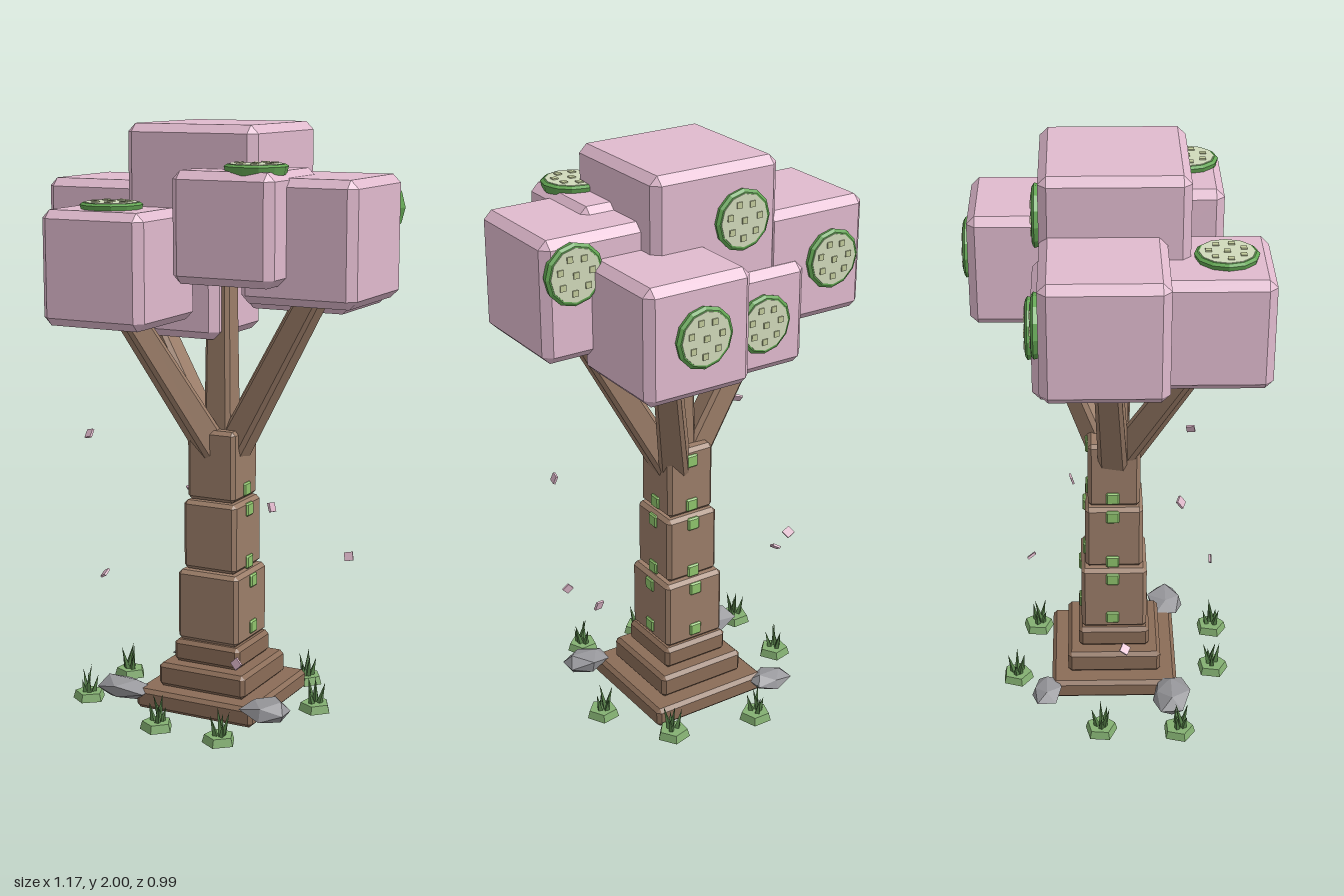
import * as THREE from 'three';
import { ConvexGeometry } from 'three/addons/geometries/ConvexGeometry.js';

const mat = (color) => new THREE.MeshStandardMaterial({ color, flatShading: true });
const M = {
  leaf: mat(0xe0bace), bark: mat(0x9b7d68), darkBark: mat(0x8a6c57), rind: mat(0x62a552),
  flesh: mat(0xd0d9ba), seed: mat(0xc2cb9c), moss: mat(0x8fc46c), bush: mat(0x84b072),
  blade: mat(0x557f48), rock: mat(0x96969a), petal: mat(0xdcb6c8),
};

function add(parent, name, geo, material, x = 0, y = 0, z = 0) {
  const m = new THREE.Mesh(geo, material);
  m.name = name;
  m.position.set(x, y, z);
  parent.add(m);
  return m;
}

// Box with flat chamfered edges; taper scales the top end
function chamferBox(w, h, d, c, taper = 1) {
  const pts = [];
  for (const sx of [-1, 1]) for (const sy of [-1, 1]) for (const sz of [-1, 1]) {
    for (let k = 0; k < 3; k++) {
      const f = sy > 0 ? taper : 1;
      pts.push(new THREE.Vector3(
        sx * f * (w / 2 - (k === 0 ? 0 : c)),
        sy * (h / 2 - (k === 1 ? 0 : c)),
        sz * f * (d / 2 - (k === 2 ? 0 : c))));
    }
  }
  return new ConvexGeometry(pts);
}

// Round slice with rind, pale flesh and raised seeds, facing +y
function slice() {
  const g = new THREE.Group();
  g.name = 'slice';
  add(g, 'rind', new THREE.CylinderGeometry(0.102, 0.095, 0.026, 12), M.rind, 0, 0.001, 0);
  add(g, 'rindBevel', new THREE.CylinderGeometry(0.092, 0.102, 0.007, 12), M.rind, 0, 0.0175, 0);
  add(g, 'flesh', new THREE.CylinderGeometry(0.087, 0.088, 0.004, 12), M.flesh, 0, 0.0205, 0);
  const seed = new THREE.BoxGeometry(0.02, 0.006, 0.02);
  add(g, 'seed', seed, M.seed, 0, 0.0235, 0);
  for (let i = 0; i < 7; i++) {
    const a = i / 7 * Math.PI * 2 + 0.3;
    add(g, 'seed', seed, M.seed, 0.057 * Math.cos(a), 0.0235, 0.057 * Math.sin(a));
  }
  return g;
}

// Tapered branch from a to b
function branch(parent, a, b) {
  const p = new THREE.Vector3(...a), q = new THREE.Vector3(...b);
  const dir = q.clone().sub(p), len = dir.length();
  const m = add(parent, 'branch', chamferBox(0.1, len, 0.1, 0.014, 0.82), M.bark);
  m.position.copy(p).add(q).multiplyScalar(0.5);
  // lean sideways without twisting the square section
  const y = dir.normalize();
  const flat = new THREE.Vector3(y.x, 0, y.z);
  if (flat.length() < 0.05) flat.set(1, 0, 0);
  const z = new THREE.Vector3().crossVectors(flat.normalize(), y).normalize();
  if (z.length() < 0.5) z.set(0, 0, 1);
  const x = new THREE.Vector3().crossVectors(y, z);
  m.quaternion.setFromRotationMatrix(new THREE.Matrix4().makeBasis(x, y, z));
}

function rock(w, h, d, seed) {
  const geo = new THREE.IcosahedronGeometry(0.5, 0);
  const p = geo.attributes.position;
  for (let i = 0; i < p.count; i++) {
    const x = p.getX(i), y = p.getY(i), z = p.getZ(i);
    const s = 1 + 0.14 * Math.sin(x * 9 + y * 7 + z * 11 + seed);
    p.setXYZ(i, x * s * w, y * s * h, z * s * d);
  }
  geo.computeVertexNormals();
  return geo;
}

// Low clump with pointed blades
function grass(turn) {
  const g = new THREE.Group();
  g.name = 'grassClump';
  add(g, 'clump', new THREE.CylinderGeometry(0.05, 0.058, 0.028, 5), M.bush, 0, 0.019, 0);
  for (let i = 0; i < 5; i++) {
    const a = i * 2.4, r = i ? 0.024 : 0, h = 0.1 - 0.012 * i;
    const b = add(g, 'blade', new THREE.ConeGeometry(0.011, h, 4), M.blade,
      r * Math.cos(a), 0.03 + h / 2, r * Math.sin(a));
    b.rotation.set(0.25 * Math.sin(a), 0, -0.25 * Math.cos(a));
  }
  g.rotation.y = turn;
  return g;
}

export function createModel() {
  const root = new THREE.Group();
  root.name = 'blockTree';

  // Stepped foot and trunk: width, bottom, top
  const tiers = [
    ['foot', 0.445, 0.005, 0.075], ['foot', 0.33, 0.075, 0.158], ['foot', 0.25, 0.16, 0.238],
    ['trunk', 0.23, 0.238, 0.487], ['trunk', 0.2, 0.49, 0.732], ['trunk', 0.18, 0.735, 0.98],
  ];
  for (const [name, w, y0, y1] of tiers) {
    add(root, name, chamferBox(w, y1 - y0, w, 0.013), name === 'foot' ? M.darkBark : M.bark,
      0, (y0 + y1) / 2, 0);
  }

  // Moss patches: height and trunk half width
  const moss = [[0.285, 0.115], [0.45, 0.115], [0.515, 0.1], [0.7, 0.1], [0.77, 0.09], [0.937, 0.09]];
  moss.forEach(([y, r], i) => {
    add(root, 'moss', chamferBox(0.016, 0.046, 0.046, 0.005), M.moss, 0, y, -r).rotation.y = Math.PI / 2;
    if (i < 5) for (const s of [-1, 1])
      add(root, 'moss', chamferBox(0.016, 0.046, 0.046, 0.005), M.moss, s * r, y, -0.005);
  });

  // Branches
  branch(root, [0, 0.9, 0], [0, 1.6, 0]);
  branch(root, [-0.03, 0.88, 0], [-0.37, 1.5, -0.03]);
  branch(root, [-0.01, 0.88, 0.02], [-0.22, 1.43, 0.3]);
  branch(root, [0.03, 0.88, 0], [0.38, 1.5, 0.035]);
  branch(root, [0.02, 0.88, -0.02], [0.22, 1.43, -0.27]);

  // Foliage blocks: size, centre
  const blocks = [
    [0.47, 0, 1.765, 0], [0.395, -0.387, 1.613, -0.036], [0.372, -0.22, 1.548, 0.304],
    [0.4, 0.38, 1.64, 0.043], [0.357, 0.171, 1.683, 0.174], [0.382, 0.223, 1.564, -0.283],
    [0.35, -0.155, 1.46, -0.088],
  ];
  for (const [s, x, y, z] of blocks) add(root, 'foliage', chamferBox(s, s, s, 0.027), M.leaf, x, y, z);

  // Slices: position, then whether they face the back instead of up
  const slices = [
    [-0.22, 1.734, 0.345, 0], [0.245, 1.862, 0.243, 0],
    [0.22, 1.575, -0.474, 1], [-0.083, 1.82, -0.235, 1], [-0.445, 1.62, -0.234, 1],
    [0.48, 1.73, -0.157, 1], [-0.155, 1.462, -0.263, 1],
  ];
  for (const [x, y, z, back] of slices) {
    const s = slice();
    s.position.set(x, y, z);
    if (back) s.rotation.x = -Math.PI / 2;
    root.add(s);
  }

  // Rocks
  add(root, 'rock', rock(0.2, 0.08, 0.14, 1), M.rock, -0.28, 0.062, 0.2);
  add(root, 'rock', rock(0.2, 0.085, 0.14, 4), M.rock, 0.27, 0.075, 0.2);
  add(root, 'rock', rock(0.15, 0.06, 0.11, 2), M.rock, -0.24, 0.055, -0.24);

  // Grass clumps around the foot
  const clumps = [[-0.1, -0.35], [-0.41, 0.22], [0.18, 0.37], [-0.06, 0.36],
    [0.34, -0.04], [-0.4, -0.05], [0.2, -0.28]];
  clumps.forEach(([x, z], i) => {
    const g = grass(i * 1.3);
    g.position.set(x, 0, z);
    root.add(g);
  });

  // Drifting petals
  const petals = [[-0.4, 0.955, 0.21], [-0.275, 0.665, -0.28], [-0.455, 0.405, 0.03],
    [0.325, 0.8, 0.285], [0.41, 0.535, -0.15], [0.24, 0.285, 0.365]];
  petals.forEach(([x, y, z], i) => {
    add(root, 'petal', new THREE.BoxGeometry(0.03, 0.008, 0.03), M.petal, x, y, z)
      .rotation.set(0.9 + i * 0.7, i * 1.1, 0.4 + i * 0.5);
  });
  return root;
}
